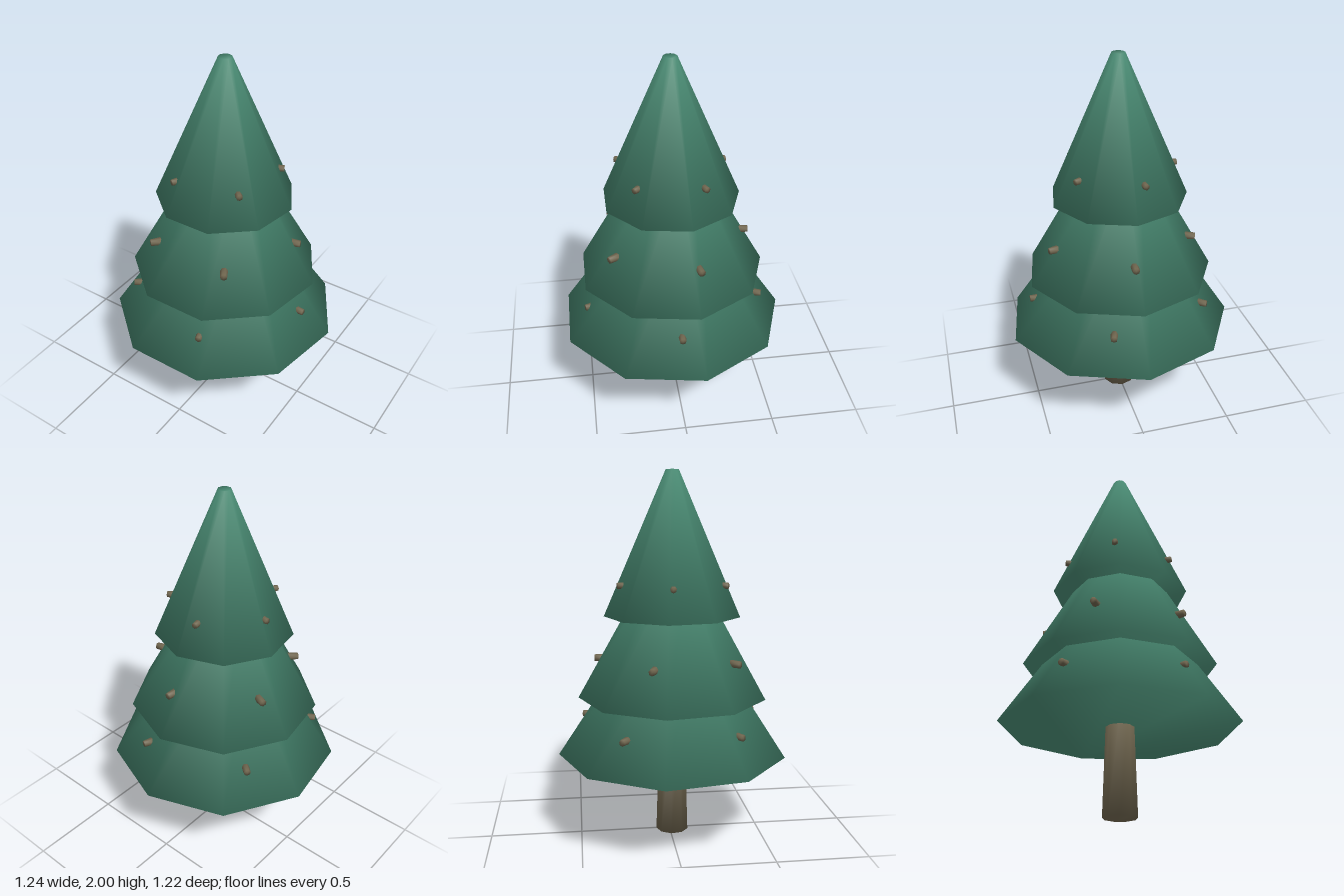
import * as THREE from 'three';
import { mergeVertices } from 'three/addons/utils/BufferGeometryUtils.js';

const SIDES = 9;
const AXIS_Z = 0.016;

// Capped nine-sided frustum whose normals run smoothly over its rims.
// lowTilt and highTilt are the vertical parts of the rim normals.
function softFrustum(r0, y0, r1, y1, lowTilt, highTilt) {
  const pos = [], nor = [], idx = [];
  for (const [r, y, tilt] of [[r0, y0, lowTilt], [r1, y1, highTilt]]) {
    const out = Math.sqrt(1 - tilt * tilt);
    for (let i = 0; i < SIDES; i++) {
      const a = Math.PI + (i / SIDES) * Math.PI * 2;
      pos.push(Math.sin(a) * r, y, Math.cos(a) * r);
      nor.push(Math.sin(a) * out, tilt, Math.cos(a) * out);
    }
  }
  for (let i = 0; i < SIDES; i++) {
    const j = (i + 1) % SIDES;
    idx.push(i, j, SIDES + j, i, SIDES + j, SIDES + i);
  }
  for (let i = 1; i < SIDES - 1; i++) {
    idx.push(0, i + 1, i, SIDES, SIDES + i, SIDES + i + 1);
  }
  const g = new THREE.BufferGeometry();
  g.setAttribute('position', new THREE.Float32BufferAttribute(pos, 3));
  g.setAttribute('normal', new THREE.Float32BufferAttribute(nor, 3));
  g.setIndex(idx);
  return g;
}

// Short rounded stub lying along z
function stubGeometry(radius, length) {
  let g = new THREE.CylinderGeometry(radius * 0.85, radius, length, 7);
  g.rotateX(Math.PI / 2);
  g.deleteAttribute('normal');
  g.deleteAttribute('uv');
  g = mergeVertices(g);
  g.computeVertexNormals();
  return g;
}

export function createModel() {
  const tree = new THREE.Group();
  tree.name = 'pineTree';

  const needles = new THREE.MeshStandardMaterial({ color: 0x478770 });
  needles.name = 'needleGreen';
  const bark = new THREE.MeshStandardMaterial({ color: 0x70664f });
  bark.name = 'barkBrown';

  const add = (geometry, material, name, x = 0, y = 0, z = AXIS_Z) => {
    const m = new THREE.Mesh(geometry, material);
    m.name = name;
    m.position.set(x, y, z);
    tree.add(m);
    return m;
  };

  // Trunk
  add(softFrustum(0.09, 0, 0.073, 0.55, -0.61, 0.61), bark, 'trunk');

  // Foliage tiers, each reaching up into the next
  add(softFrustum(0.63, 0.465, 0.2, 1.11, -0.37, 0.8), needles, 'lowerFoliage');
  add(softFrustum(0.516, 0.785, 0.14, 1.45, -0.4, 0.78), needles, 'middleFoliage');
  add(softFrustum(0.371, 1.23, 0.035, 2, -0.42, 0.77), needles, 'upperFoliage');

  // Twig stubs poking out of each tier: [x, z]
  const rows = [
    { name: 'lowerStub', y: 0.65, r: 0.021, len: 0.05,
      at: [[-0.395, 0.315], [0.15, 0.485], [0.485, 0.02], [0.15, -0.45], [-0.4, -0.275]] },
    { name: 'middleStub', y: 1.0, r: 0.022, len: 0.056,
      at: [[-0.245, 0.32], [0.21, 0.345], [0.38, -0.085], [0.02, -0.38], [-0.365, -0.125]] },
    { name: 'upperStub', y: 1.4, r: 0.019, len: 0.04,
      at: [[-0.125, 0.28], [0.21, 0.213], [0.248, -0.125], [-0.06, -0.265], [-0.29, -0.015]] },
  ];
  for (const row of rows) {
    const geometry = stubGeometry(row.r, row.len);
    for (const [x, z] of row.at) {
      add(geometry, bark, row.name, x, row.y, z).rotation.y = Math.atan2(x, z - AXIS_Z);
    }
  }
  return tree;
}
